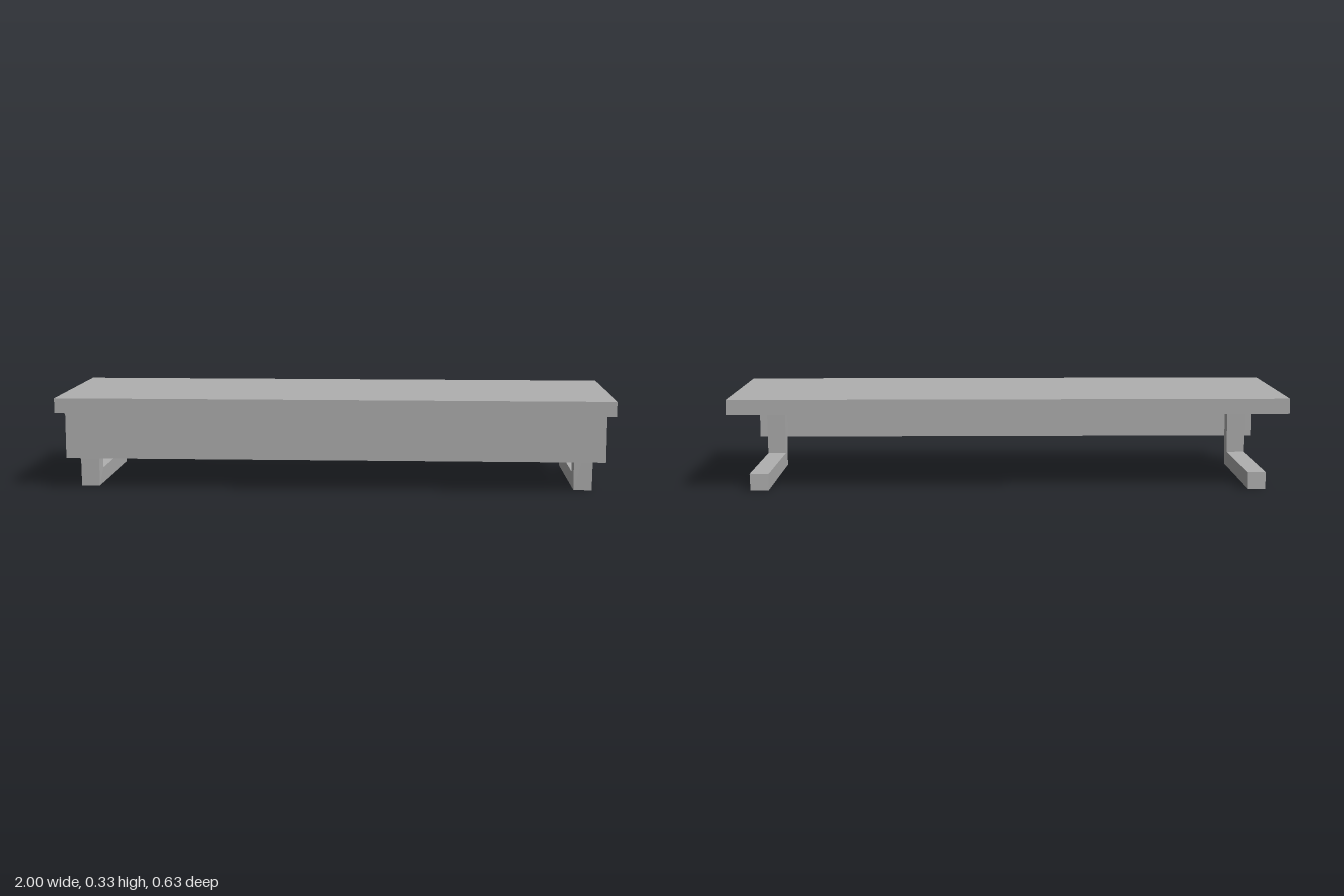
import * as THREE from 'three';

export function createModel() {
  const model = new THREE.Group();
  const grey = new THREE.MeshStandardMaterial({ color: 0xb0b0b0 });
  grey.name = 'grey';

  const add = (name, geometry, x, y, z) => {
    const mesh = new THREE.Mesh(geometry, grey);
    mesh.name = name;
    mesh.position.set(x, y, z);
    model.add(mesh);
  };

  // Flat top and the board under its front edge
  add('top', new THREE.BoxGeometry(2, 0.054, 0.634), 0, 0.306, 0.001);
  add('frontBoard', new THREE.BoxGeometry(1.934, 0.166, 0.059), 0, 0.195, 0.2665);

  // L-shaped leg: side profile as (z, y), extruded across x
  const profile = new THREE.Shape([
    [0.234, 0], [0.236, 0.279], [0.17, 0.279],
    [0.174, 0.057], [-0.281, 0.061], [-0.283, 0],
  ].map(([z, y]) => new THREE.Vector2(z, y)));
  const leg = new THREE.ExtrudeGeometry(profile, { depth: 0.07, bevelEnabled: false });
  leg.translate(0, 0, -0.035).rotateY(-Math.PI / 2);

  // Legs narrow slightly toward the floor
  const p = leg.attributes.position;
  for (let i = 0; i < p.count; i++) {
    p.setX(i, p.getX(i) * (0.92 + 0.08 * Math.min(1, p.getY(i) / 0.1)));
  }
  leg.computeVertexNormals();

  add('leftLeg', leg, 0.895, 0, 0);
  add('rightLeg', leg, -0.895, 0, 0);
  return model;
}
